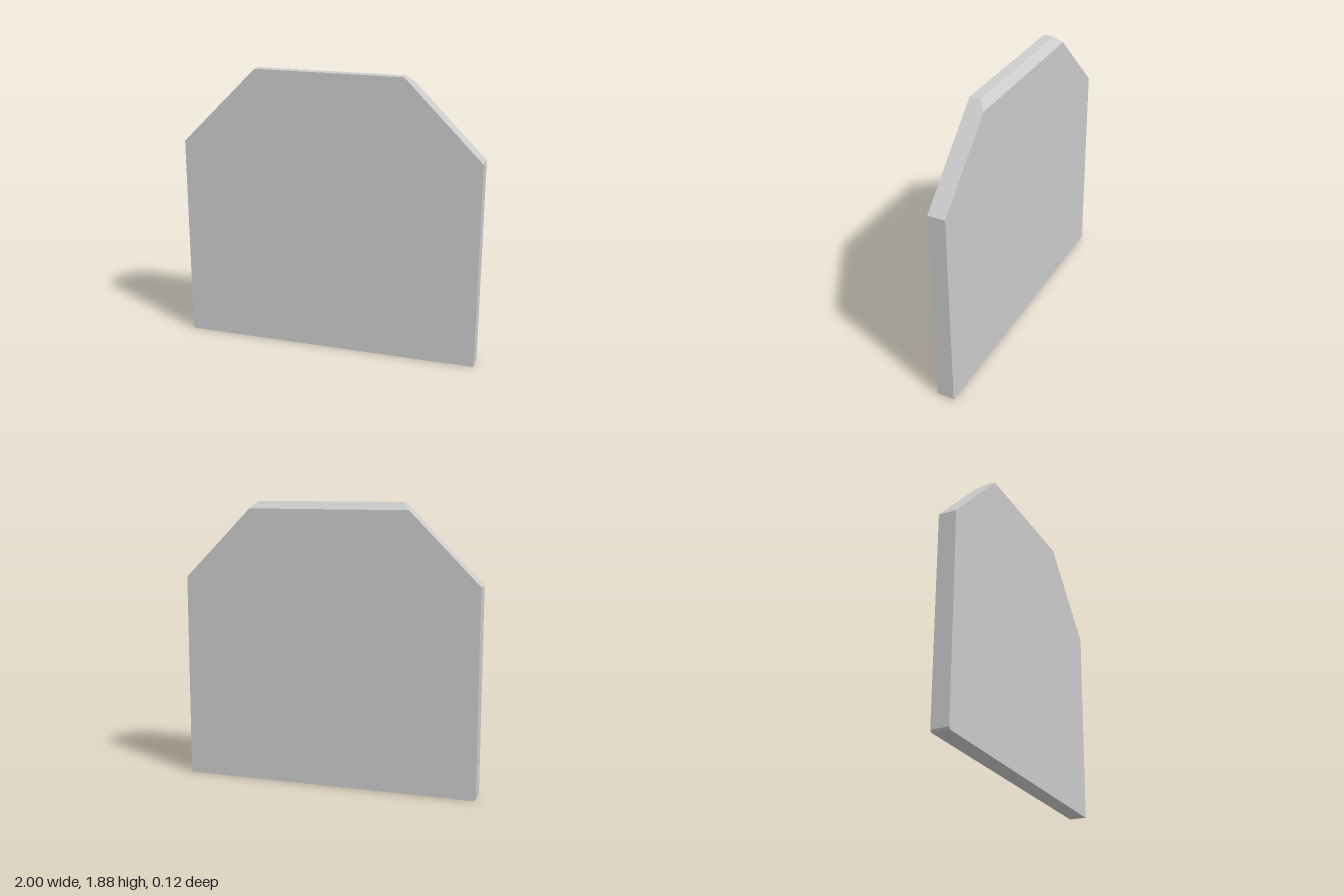
import * as THREE from 'three';

export function createModel() {
  const group = new THREE.Group();
  const top = 1.88, shoulder = 1.37, halfTop = 0.49, bevel = 0.047;
  const halfDepth = 0.058, bevelStart = -0.011;

  // Panel outline: clipped upper corners, tiny nicks at the lower ones
  const outline = new THREE.Shape([
    [-0.986, 0], [0.995, 0], [1, 0.005], [1, shoulder],
    [halfTop, top], [-halfTop, top], [-1, shoulder], [-1, 0.014],
  ].map(([x, y]) => new THREE.Vector2(x, y)));

  const geometry = new THREE.ExtrudeGeometry(outline, {
    depth: 2 * halfDepth, steps: 2, bevelEnabled: false,
  });
  geometry.translate(0, 0, -halfDepth);

  // Middle ring marks the bevel start; the rear top edge slides down the slopes
  const pos = geometry.attributes.position;
  for (let i = 0; i < pos.count; i++) {
    const z = pos.getZ(i);
    if (Math.abs(z) < 0.01) pos.setZ(i, bevelStart);
    if (z < -0.01 && pos.getY(i) > top - 0.01) {
      pos.setX(i, Math.sign(pos.getX(i)) * (halfTop + bevel));
      pos.setY(i, top - bevel);
    }
  }
  geometry.computeVertexNormals();

  const panel = new THREE.Mesh(
    geometry,
    new THREE.MeshStandardMaterial({ color: 0xcccccc, flatShading: true }),
  );
  panel.name = 'panel';
  group.add(panel);
  return group;
}
